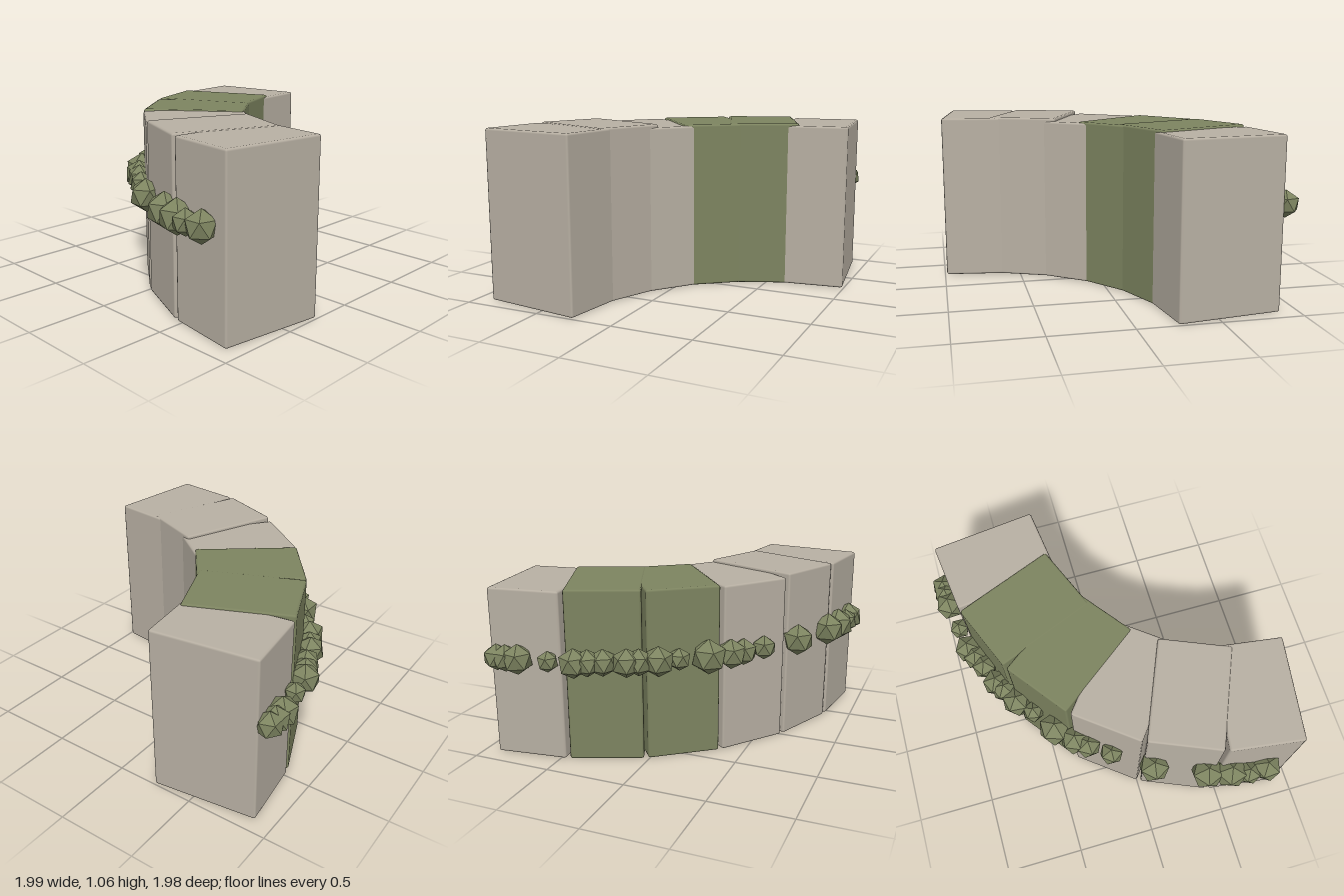
import * as THREE from 'three';
import { RoundedBoxGeometry } from 'three/addons/geometries/RoundedBoxGeometry.js';

export function createModel() {
  const model = new THREE.Group();
  model.name = 'curvedWall';

  const stone = new THREE.MeshStandardMaterial({ color: 0xb8b0a3 });
  stone.name = 'stone';
  const moss = new THREE.MeshStandardMaterial({ color: 0x7d8460 });
  moss.name = 'moss green';

  // Wall blocks fanned around an arc, 15 degrees apart: [height, material]
  const centreX = 0.925, centreZ = -0.915, outerRadius = 1.8;
  const width = 0.447, depth = 0.645;
  const blocks = [
    [1.04, stone], [1.052, moss], [1.049, moss],
    [1.042, stone], [1.062, stone], [1.058, stone],
  ];
  const wall = new THREE.Group();
  wall.name = 'wall';
  blocks.forEach(([height, material], i) => {
    const angle = THREE.MathUtils.degToRad(172.8 - 15 * i);
    const dx = Math.cos(angle), dz = Math.sin(angle);
    const r = outerRadius - depth / 2;
    const block = new THREE.Mesh(new RoundedBoxGeometry(width, height, depth, 1, 0.014), material);
    block.name = `wallBlock${i + 1}`;
    block.position.set(centreX + r * dx, height / 2, centreZ + r * dz);
    block.rotation.y = Math.atan2(dx, dz);
    wall.add(block);
  });
  model.add(wall);

  // Faceted foliage clumps along the outer face: [x, z, radius]
  const clumps = [
    [-0.92, -0.85, 0.083], [-0.92, -0.79, 0.085], [-0.915, -0.71, 0.095],
    [-0.885, -0.525, 0.066], [-0.86, -0.37, 0.093], [-0.825, -0.3, 0.085],
    [-0.785, -0.22, 0.085], [-0.74, -0.09, 0.09], [-0.7, -0.03, 0.085],
    [-0.645, 0.07, 0.095], [-0.56, 0.165, 0.07], [-0.455, 0.31, 0.11],
    [-0.355, 0.415, 0.095], [-0.285, 0.47, 0.085], [-0.16, 0.56, 0.077],
    [0.07, 0.715, 0.102], [0.375, 0.84, 0.108], [0.515, 0.875, 0.108],
    [0.62, 0.91, 0.08], [0.735, 0.905, 0.098],
  ];
  const clumpGeometry = new THREE.IcosahedronGeometry(1, 0);
  clumpGeometry.rotateZ(-0.5536); // stand on a corner
  const foliage = new THREE.Group();
  foliage.name = 'foliage';
  clumps.forEach(([x, z, radius], i) => {
    const clump = new THREE.Mesh(clumpGeometry, moss);
    clump.name = `foliageClump${i + 1}`;
    clump.position.set(x, 0.632, z);
    clump.scale.setScalar(radius);
    clump.rotation.y = i * 2.4;
    foliage.add(clump);
  });
  model.add(foliage);

  return model;
}
